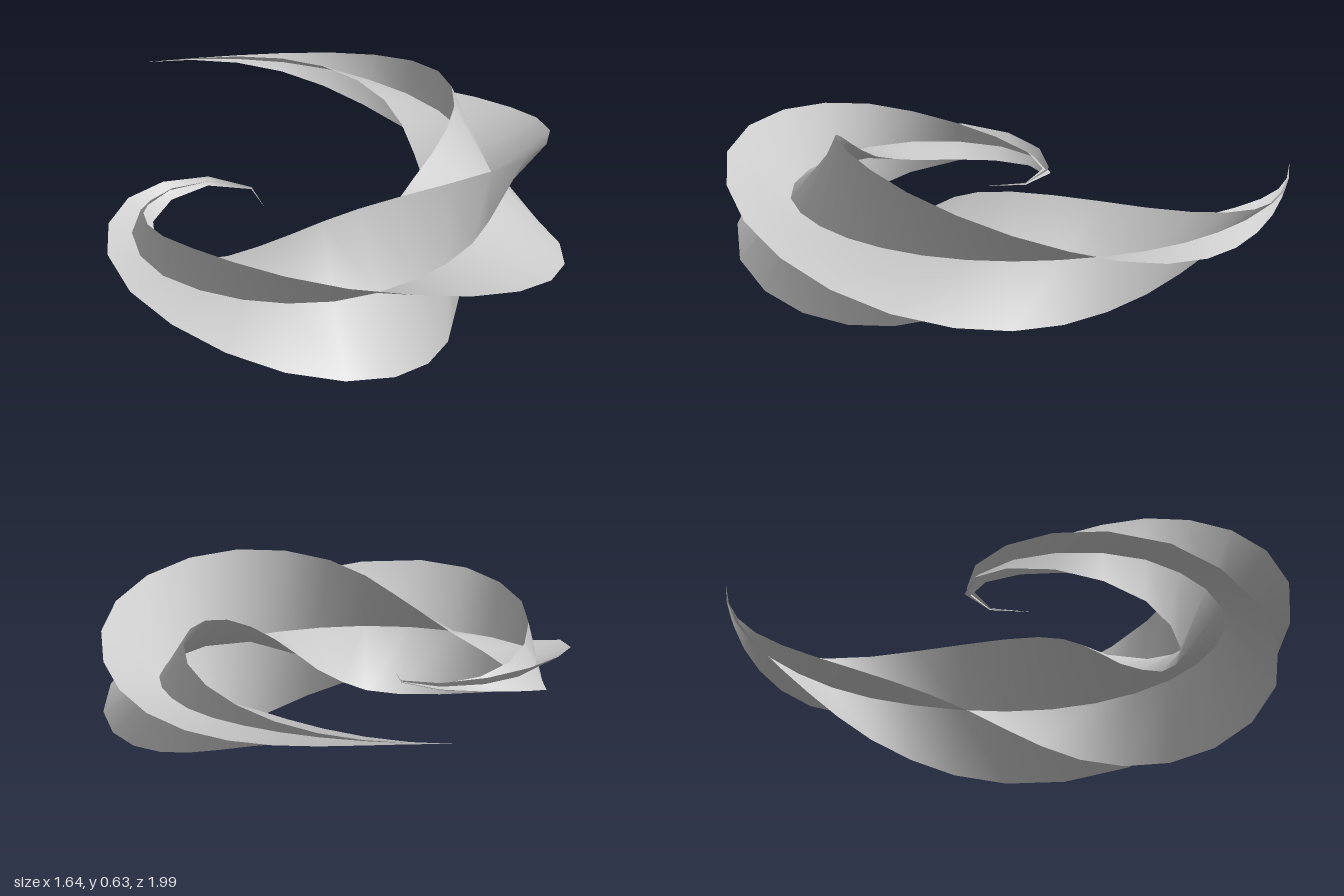
import * as THREE from 'three';

const SEGMENTS = 28;
const AXIS_Y = 0.317;
const MAX_REACH = 0.315;

// Flat spiral axis, from the outer tip to the curled inner tip (x, z)
const axis = new THREE.CatmullRomCurve3([
  [-0.35, -1], [-0.14, -0.97], [0.08, -0.895], [0.26, -0.785], [0.42, -0.63],
  [0.53, -0.46], [0.6, -0.23], [0.618, 0.02], [0.57, 0.25], [0.46, 0.445],
  [0.3, 0.6], [0.11, 0.7], [-0.1, 0.745], [-0.3, 0.715], [-0.51, 0.6],
  [-0.67, 0.4], [-0.7, 0.22], [-0.665, 0.05], [-0.56, -0.09], [-0.4, -0.165],
  [-0.29, -0.14], [-0.215, -0.08], [-0.175, 0], [-0.2, 0.07],
].map(([x, z]) => new THREE.Vector3(x, AXIS_Y, z)), false, 'centripetal');
axis.arcLengthDivisions = 600;

// Ribbon spanning both sides of the axis, making one full twist and tapering to both tips
function ribbon(startAngle) {
  const up = new THREE.Vector3(0, 1, 0);
  const positions = [], indices = [];
  for (let i = 0; i <= SEGMENTS; i++) {
    const t = i / SEGMENTS;
    const centre = axis.getPointAt(t);
    const outward = up.clone().cross(axis.getTangentAt(t)).normalize();
    const angle = startAngle + t * Math.PI * 2;
    const reach = MAX_REACH * Math.sin(Math.PI * t) ** 2;
    const across = outward.multiplyScalar(Math.cos(angle)).addScaledVector(up, Math.sin(angle));
    for (const side of [-1, 0, 1]) {
      positions.push(...centre.clone().addScaledVector(across, side * reach).toArray());
    }
    if (i === SEGMENTS) continue;
    for (let j = 0; j < 2; j++) {
      const a = i * 3 + j, b = a + 3;
      indices.push(a, b, a + 1, b, b + 1, a + 1);
    }
  }
  const geometry = new THREE.BufferGeometry();
  geometry.setAttribute('position', new THREE.Float32BufferAttribute(positions, 3));
  geometry.setIndex(indices);
  geometry.computeVertexNormals();
  return geometry;
}

export function createModel() {
  const group = new THREE.Group();
  group.name = 'twistedSpiral';
  const material = new THREE.MeshStandardMaterial({ color: 0xcccccc, side: THREE.DoubleSide });
  // Two ribbons crossing at right angles form the four blades
  ['firstRibbon', 'secondRibbon'].forEach((name, i) => {
    const mesh = new THREE.Mesh(ribbon(i * Math.PI / 2), material);
    mesh.name = name;
    group.add(mesh);
  });
  return group;
}
